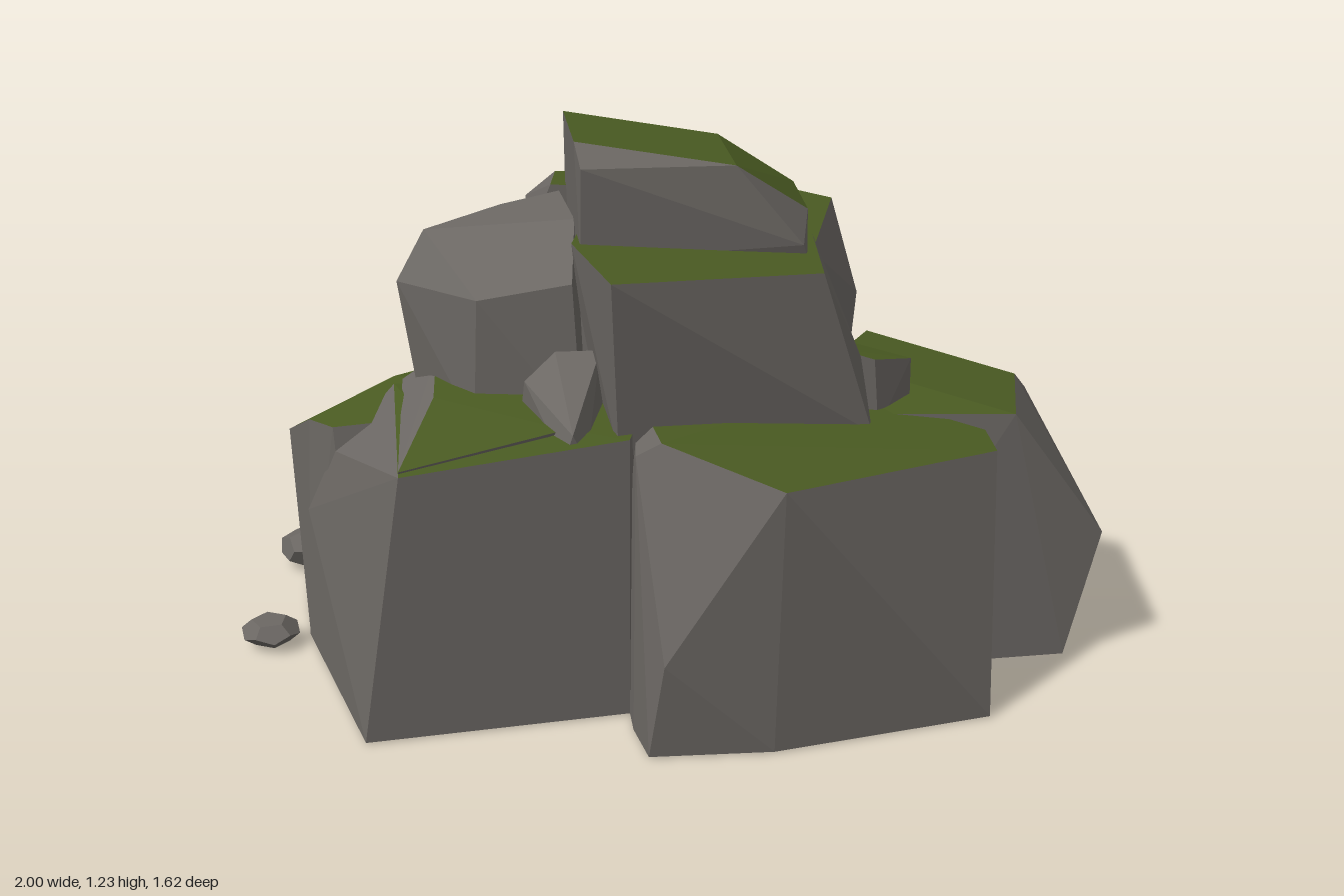
import * as THREE from 'three';
import { ConvexGeometry } from 'three/addons/geometries/ConvexGeometry.js';

const stone = new THREE.MeshStandardMaterial({ color: 0x6b6763 });
stone.name = 'stone';
const moss = new THREE.MeshStandardMaterial({ color: 0x4a5b22 });
moss.name = 'moss';

// Faceted boulder from corner points; facets that face upward enough get moss.
// lean [x, z] favours the facets turned to that side.
function boulder(name, corners, mossLimit = 0.8, lean = [0, 0]) {
  const hull = new ConvexGeometry(corners.map((c) => new THREE.Vector3(...c)));
  const p = hull.getAttribute('position');
  const n = hull.getAttribute('normal');
  const sides = [], tops = [];
  for (let i = 0; i < p.count; i += 3) {
    const score = n.getY(i) + lean[0] * n.getX(i) + lean[1] * n.getZ(i);
    const list = n.getY(i) > 0.3 && score > mossLimit ? tops : sides;
    for (let k = i; k < i + 3; k++) list.push(p.getX(k), p.getY(k), p.getZ(k));
  }
  const g = new THREE.BufferGeometry();
  g.setAttribute('position', new THREE.Float32BufferAttribute([...sides, ...tops], 3));
  g.addGroup(0, sides.length / 3, 0);
  g.addGroup(sides.length / 3, tops.length / 3, 1);
  g.computeVertexNormals();
  const mesh = new THREE.Mesh(g, [stone, moss]);
  mesh.name = name;
  return mesh;
}

// Footprint of [x, z] pairs at a given height
const ring = (y, pairs) => pairs.map(([x, z]) => [x, y, z]);

export function createModel() {
  const model = new THREE.Group();
  model.name = 'mossyRockPile';
  const add = (...args) => model.add(boulder(...args));

  // Lower tier: five large blocks standing on the ground
  add('lowerBackRightBlock', [
    ...ring(0, [[-0.86, -0.32], [-0.1, -0.45], [0, 0.2], [-0.72, 0.2], [-0.84, 0.05]]),
    [-0.89, 0.38, -0.35], [-0.19, 0.575, -0.48], [-0.1, 0.55, -0.47],
    [0, 0.63, 0.2], [-0.62, 0.61, -0.04], [-0.76, 0.56, 0.17], [-0.82, 0.53, 0.02],
  ], 0.75);
  add('lowerFrontRightBlock', [
    ...ring(0, [[-0.84, 0.06], [-0.7, 0.64], [-0.12, 0.56], [0, 0]]),
    [-0.61, 0.61, 0.65], [-0.12, 0.65, 0.58], [-0.58, 0.625, 0.2], [-0.62, 0.61, 0.02],
    [-0.76, 0.5, 0.16], [-0.83, 0.32, 0.06], [0, 0.65, 0.1],
  ]);
  add('lowerFrontBlock', [
    ...ring(0, [[-0.12, 0.64], [-0.1, 0.77], [0.17, 0.775], [0.67, 0.66], [0.66, 0.2], [-0.12, 0.1]]),
    [-0.07, 0.22, 0.8], [0.18, 0.605, 0.81], [-0.06, 0.665, 0.65], [-0.11, 0.62, 0.6],
    [0.69, 0.58, 0.54], [0.69, 0.59, 0.43], [0.4, 0.64, 0.25], [-0.08, 0.66, 0.3],
  ]);
  add('lowerLeftBlock', [
    ...ring(0, [[0.92, 0.36], [0.86, -0.02], [0.69, -0.26], [0.3, -0.15], [0.4, 0.39]]),
    [1, 0.3, 0.35], [0.77, 0.61, 0.39], [0.43, 0.62, 0.38], [0.9, 0.54, -0.01],
    [0.86, 0.59, 0.04], [0.71, 0.46, -0.29], [0.55, 0.63, -0.22], [0.4, 0.66, 0.1],
  ], 0.75, [0, -0.4]);
  add('lowerBackBlock', [
    ...ring(0, [[-0.1, -0.43], [0.47, -0.585], [0.58, -0.3], [0.5, 0.2], [-0.1, 0.2]]),
    [-0.1, 0.56, -0.47], [0.32, 0.53, -0.59], [0.48, 0.52, -0.61], [0.5, 0.41, -0.645],
    [0.54, 0.53, -0.5], [0.61, 0.5, -0.27], [0.5, 0.59, -0.2], [0, 0.61, -0.1],
  ], 0.7);

  // Upper tier: blocks gathered around the middle
  add('upperFrontBlock', [
    ...ring(0.6, [[-0.14, 0.54], [0.43, 0.45], [0.38, 0.2], [-0.16, -0.1]]),
    [-0.16, 1.0, 0.605], [-0.22, 1.01, 0.3], [0.31, 0.975, 0.475], [0.34, 0.98, 0.15],
    [-0.15, 1.0, -0.05], [0.41, 0.76, 0.4], [0.37, 0.82, 0.14],
  ]);
  add('upperBackLeftBlock', [
    ...ring(0.55, [[0, -0.41], [0.2, -0.45], [0.5, -0.28], [0.42, 0.15], [0, 0.1]]),
    [0, 0.96, -0.43], [0.2, 0.98, -0.48], [0.34, 0.965, -0.4], [0.47, 0.95, -0.31],
    [0.53, 0.72, -0.26], [0.34, 0.94, 0.16], [0, 0.97, 0.1],
  ]);
  add('upperRightSlab', [
    ...ring(0.5, [[-0.57, -0.19], [-0.5, 0.15], [-0.15, 0.15], [-0.15, -0.3], [-0.3, -0.33]]),
    [-0.58, 0.84, -0.18], [-0.57, 0.85, -0.05], [-0.3, 0.86, -0.3], [-0.52, 0.87, 0.1],
    [-0.15, 0.89, -0.28], [-0.15, 0.92, 0.1],
  ], 0.85);
  add('upperRightKnob', [
    ...ring(0.58, [[-0.56, 0.06], [-0.44, 0.26], [-0.2, 0.3], [-0.15, -0.1], [-0.5, -0.02]]),
    [-0.605, 0.87, 0.06], [-0.54, 0.98, 0.02], [-0.43, 0.88, 0.28], [-0.22, 0.92, 0.31],
    [-0.36, 1.01, -0.08], [-0.22, 1.035, -0.1], [-0.2, 1.02, 0.12], [-0.53, 0.9, -0.06],
  ], 1.1);
  add('upperBackRightBlock', [
    ...ring(0.55, [[-0.31, -0.28], [-0.25, -0.38], [-0.05, -0.4], [0, -0.1], [-0.3, -0.1]]),
    [-0.31, 0.86, -0.3], [-0.26, 0.86, -0.36], [-0.05, 0.9, -0.41], [0, 0.97, -0.15], [-0.31, 0.97, -0.1],
  ], 0.95);
  add('upperRearKnob', [
    ...ring(0.9, [[-0.3, -0.1], [-0.28, -0.29], [0.04, -0.32], [0.1, -0.1]]),
    [-0.29, 0.98, -0.29], [-0.22, 1.05, -0.24], [-0.05, 1.04, -0.26], [0.05, 0.97, -0.31],
    [0.05, 1.03, -0.1], [-0.24, 1.05, -0.1],
  ], 0.88);

  // Small wedges lodged between the blocks
  add('leftWedge', [
    ...ring(0.58, [[0.36, 0.37], [0.46, 0.37], [0.55, 0.28], [0.45, -0.04], [0.34, 0]]),
    [0.36, 0.77, 0.36], [0.45, 0.74, 0.36], [0.55, 0.715, 0.28], [0.45, 0.675, 0], [0.34, 0.69, 0],
  ], 0.6);
  add('rightWedge', [
    ...ring(0.6, [[-0.34, 0.3], [-0.26, 0.57], [-0.21, 0.56], [-0.15, 0.3]]),
    [-0.33, 0.71, 0.34], [-0.26, 0.77, 0.32], [-0.16, 0.77, 0.32], [-0.24, 0.66, 0.57],
  ], 0.98);
  add('backLeftWedge', [
    ...ring(0.5, [[0.22, -0.43], [0.32, -0.45], [0.46, -0.38], [0.42, -0.25], [0.22, -0.25]]),
    [0.24, 0.6, -0.42], [0.32, 0.62, -0.42], [0.43, 0.62, -0.36], [0.4, 0.64, -0.27], [0.24, 0.64, -0.3],
  ], 1.1);
  add('backRightChip', [
    ...ring(0.4, [[-0.31, -0.38], [-0.19, -0.46], [-0.1, -0.45], [-0.15, -0.3]]),
    [-0.31, 0.585, -0.4], [-0.19, 0.59, -0.485], [-0.1, 0.565, -0.475], [-0.16, 0.64, -0.32],
  ], 1.1);
  add('rightRidge', [
    ...ring(0.55, [[-0.6, 0.6], [-0.6, 0], [-0.3, 0], [-0.3, 0.4]]),
    [-0.61, 0.615, 0.63], [-0.6, 0.615, 0.0], [-0.52, 0.67, 0.0], [-0.53, 0.66, 0.28],
    [-0.3, 0.67, 0.1], [-0.25, 0.65, 0.5],
  ], 0.9, [0.5, 0]);

  // Cap stone
  add('capStone', [
    ...ring(0.97, [[-0.2, -0.16], [0.32, -0.16], [0.3, 0.32], [-0.2, 0.3]]),
    [-0.21, 1.23, -0.07], [-0.21, 1.23, 0.27], [-0.2, 1.18, 0.325], [0.14, 1.18, 0.32],
    [0.14, 1.185, 0.01], [0.32, 1.05, 0.2], [0.325, 1.06, -0.03],
    [0.32, 1.0, -0.17], [-0.2, 1.16, -0.18], [0.29, 1.0, 0.33],
  ], 0.92, [0.3, 0]);

  // Loose pebbles: [x, z, half width, half height, half depth, turn]
  [
    [-0.855, -0.4, 0.08, 0.046, 0.094, 0.4],
    [-0.93, 0.1, 0.07, 0.036, 0.072, 1.1],
    [-0.03, -0.6, 0.066, 0.034, 0.056, 0.5],
    [0.205, -0.745, 0.066, 0.046, 0.066, 2.2],
    [0.385, -0.665, 0.074, 0.037, 0.056, 2.8],
  ].forEach(([x, z, w, h, d, turn], i) => {
    const g = new THREE.DodecahedronGeometry(1, 0);
    g.rotateZ(turn).rotateY(turn).scale(w, h, d).translate(x, h * 0.93, z);
    g.computeVertexNormals();
    const pebble = new THREE.Mesh(g, stone);
    pebble.name = `pebble${i + 1}`;
    model.add(pebble);
  });

  return model;
}
